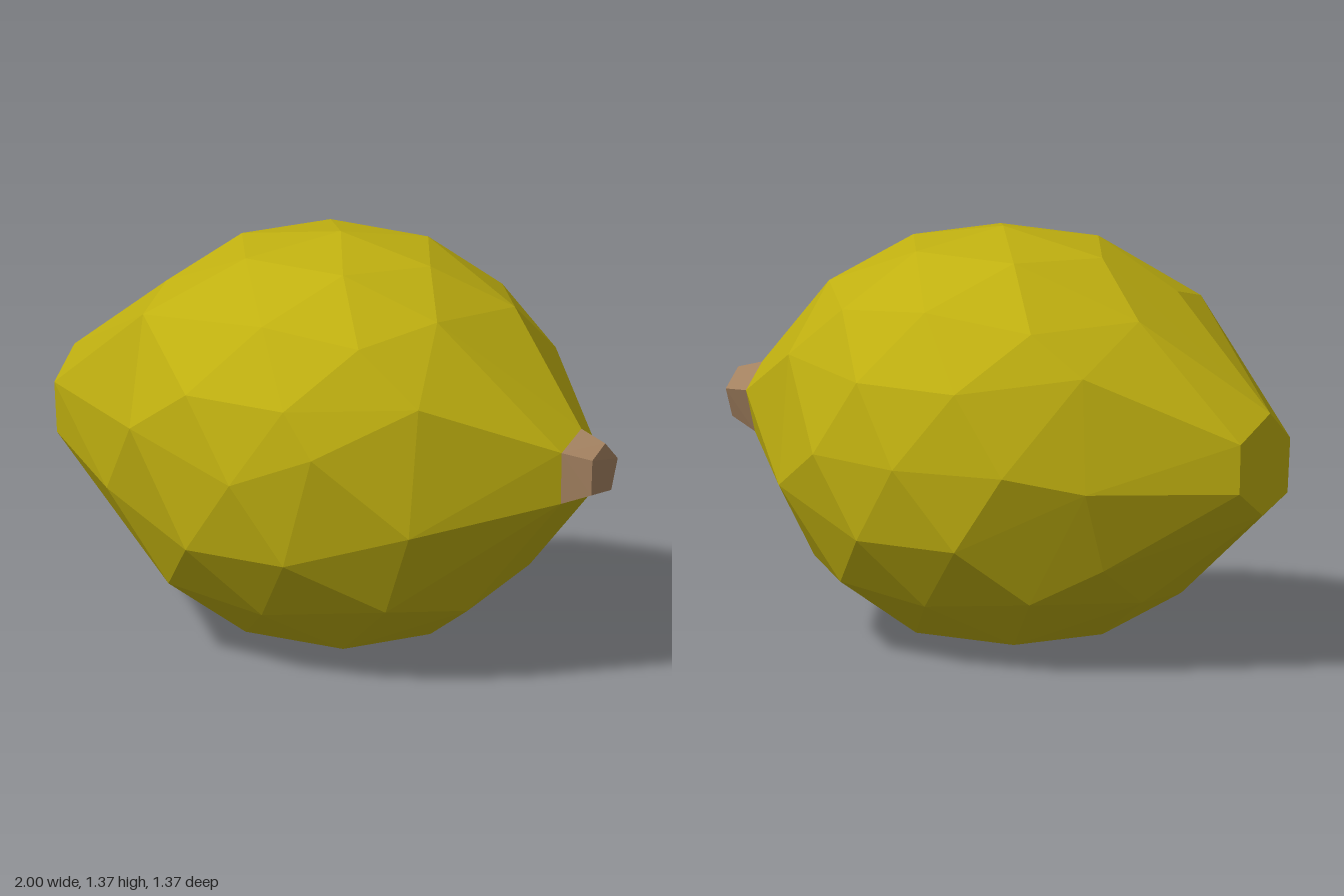
import * as THREE from 'three';
import { ConvexGeometry } from 'three/addons/geometries/ConvexGeometry.js';

const AXIS_Y = 0.685; // height of the fruit's long axis

// Evenly spaced ring of points around the x axis; angle 0 faces +z
function ring(x, radius, count, offset = 0) {
  const points = [];
  for (let i = 0; i < count; i++) {
    const a = offset + (i / count) * Math.PI * 2;
    points.push(new THREE.Vector3(x, AXIS_Y + radius * Math.sin(a), radius * Math.cos(a)));
  }
  return points;
}

// Uneven ring given as [z, y] pairs, with an optional x of their own
const loop = (x, pairs) => pairs.map(([z, y, ownX = x]) => new THREE.Vector3(ownX, y, z));

export function createModel() {
  const group = new THREE.Group();
  const skin = new THREE.MeshStandardMaterial({ color: 0xc0b010, flatShading: true });
  skin.name = 'yellow skin';
  const bark = new THREE.MeshStandardMaterial({ color: 0xa38160, flatShading: true });
  bark.name = 'brown stem';

  // Stem rings: where it leaves the fruit, and its cut end
  const stemBase = loop(0.9, [[0.1, 0.79], [-0.045, 0.833, 0.885], [-0.12, 0.75], [-0.065, 0.605], [0.105, 0.62]]);
  const stemEnd = loop(0.995, [[0.065, 0.77], [-0.03, 0.803, 0.985], [-0.09, 0.74], [-0.05, 0.643], [0.072, 0.655]]);

  // Faceted body, hulled over staggered rings from the blunt end to the stem
  const bodyPoints = [
    // blunt end
    ...loop(-0.99, [[0.05, 0.85, -0.98], [0.165, 0.75, -0.985], [0.14, 0.575], [-0.03, 0.53, -1], [-0.155, 0.62], [-0.14, 0.78, -0.985]]),
    // left shoulder
    ...loop(-0.6, [[0.42, 1.12, -0.49], [0.21, 1.175, -0.53], [-0.14, 1.145], [-0.42, 1.0, -0.56],
      [-0.47, 0.63], [-0.36, 0.36], [-0.12, 0.215], [0.12, 0.205], [0.465, 0.53]]),
    ...loop(-0.375, [[0, 1.305], [0.6, 0.79, -0.43], [0.45, 0.24], [0, 0.065], [-0.45, 0.24], [-0.62, 0.685], [-0.44, 1.13]]),
    // middle
    ...ring(-0.2, 0.68, 8, Math.PI / 8),
    ...ring(0, 0.685, 8),
    ...ring(0.17, 0.68, 8, Math.PI / 8),
    // right shoulder
    ...loop(0.34, [[0, 1.305], [0.44, 1.135], [0.635, 0.8, 0.28], [0.42, 0.26, 0.43], [0, 0.068],
      [-0.45, 0.24], [-0.62, 0.69], [-0.44, 1.135]]),
    ...loop(0.555, [[0.42, 0.96], [0.48, 0.54], [0.12, 0.21], [-0.26, 0.27], [-0.48, 0.54],
      [-0.42, 0.96], [-0.17, 1.16], [0.2, 1.19, 0.49]]),
    ...stemBase,
  ];
  const body = new THREE.Mesh(new ConvexGeometry(bodyPoints), skin);
  body.name = 'fruitBody';

  const stem = new THREE.Mesh(new ConvexGeometry([...stemBase, ...stemEnd]), bark);
  stem.name = 'stem';

  group.add(body, stem);
  return group;
}
